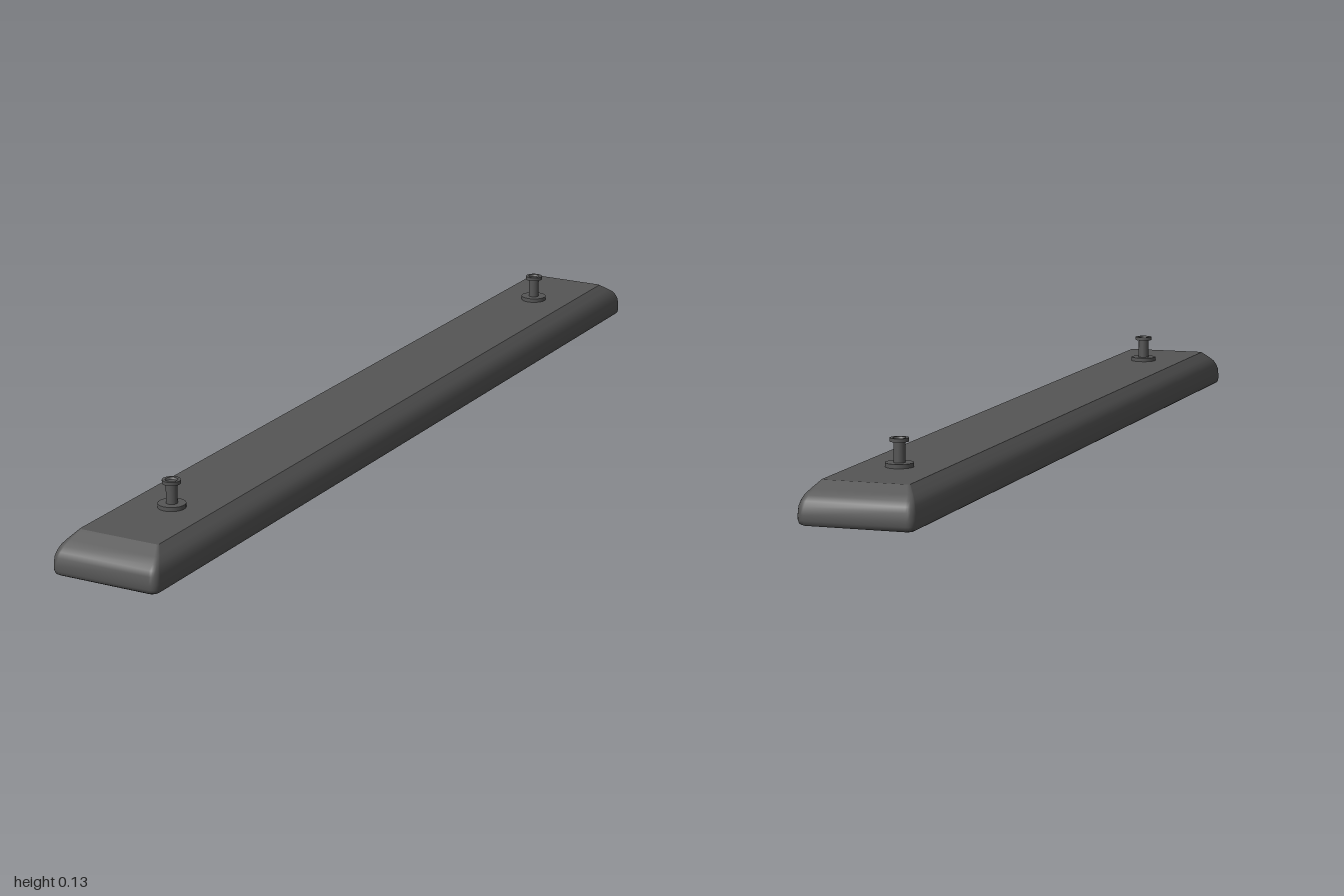
import * as THREE from 'three';

const material = new THREE.MeshStandardMaterial({ color: 0x555555 });

// Rounded rectangle in plan, counter-clockwise seen from above
function planRing([hx, hz, y, r]) {
  const ring = [], steps = 5;
  for (let q = 0; q < 4; q++) {
    const sx = q === 0 || q === 3 ? 1 : -1;
    const sz = q < 2 ? -1 : 1;
    for (let i = 0; i <= steps; i++) {
      const a = (q + i / steps) * Math.PI / 2;
      ring.push([sx * (hx - r) + r * Math.cos(a), y, sz * (hz - r) - r * Math.sin(a)]);
    }
  }
  return ring;
}

// Skin the stacked rings; both flat caps get their own vertices for a crisp edge
function loftRings(rings) {
  const n = rings[0].length, points = rings.flat(), index = [];
  for (let i = 0; i < rings.length - 1; i++) {
    for (let j = 0; j < n; j++) {
      const k = (j + 1) % n;
      const a = i * n + j, b = i * n + k, c = b + n, d = a + n;
      index.push(a, b, c, a, c, d);
    }
  }
  const addCap = (ring, up) => {
    const centre = points.length;
    points.push([0, ring[0][1], 0], ...ring);
    for (let j = 0; j < n; j++) {
      const a = centre + 1 + j, b = centre + 1 + (j + 1) % n;
      index.push(centre, up ? a : b, up ? b : a);
    }
  };
  addCap(rings[0], false);
  addCap(rings[rings.length - 1], true);
  const geometry = new THREE.BufferGeometry();
  geometry.setAttribute('position', new THREE.Float32BufferAttribute(points.flat(), 3));
  geometry.setIndex(index);
  geometry.computeVertexNormals();
  return geometry;
}

function createStud(name, z) {
  const stud = new THREE.Group();
  stud.name = name;
  stud.position.set(0.002, 0, z);
  const add = (part, radius, bottom, top) => {
    const mesh = new THREE.Mesh(new THREE.CylinderGeometry(radius, radius, top - bottom, 24), material);
    mesh.name = part;
    mesh.position.y = (bottom + top) / 2;
    stud.add(mesh);
  };
  add('studFlange', 0.027, 0.075, 0.085);
  add('studStem', 0.011, 0.083, 0.126);

  // Cap with a shallow dished top
  const profile = [[0, 0.124], [0.018, 0.124], [0.018, 0.131], [0.012, 0.131], [0.010, 0.127], [0, 0.127]];
  const shape = [];
  profile.forEach(([r, y], i) => {
    // doubled points keep the rims sharp
    shape.push(new THREE.Vector2(r, y));
    if (i > 0 && i < profile.length - 1) shape.push(new THREE.Vector2(r, y));
  });
  const cap = new THREE.Mesh(new THREE.LatheGeometry(shape, 24), material);
  cap.name = 'studCap';
  stud.add(cap);
  return stud;
}

export function createModel() {
  const model = new THREE.Group();
  model.name = 'mountingBar';

  // Bar: half width, half length, height, corner radius
  const sections = [
    [0.106, 0.993, 0, 0.012],
    [0.111, 0.998, 0.003, 0.014],
    [0.113, 1.0, 0.01, 0.015],
    [0.113, 1.0, 0.02, 0.015],
    [0.112, 0.998, 0.035, 0.015],
    [0.109, 0.993, 0.045, 0.014],
    [0.105, 0.984, 0.054, 0.012],
    [0.098, 0.969, 0.063, 0.009],
    [0.085, 0.945, 0.077, 0.005],
  ];
  const bar = new THREE.Mesh(loftRings(sections.map(planRing)), material);
  bar.name = 'bar';
  model.add(bar);

  model.add(createStud('frontStud', 0.765), createStud('backStud', -0.77));
  return model;
}
